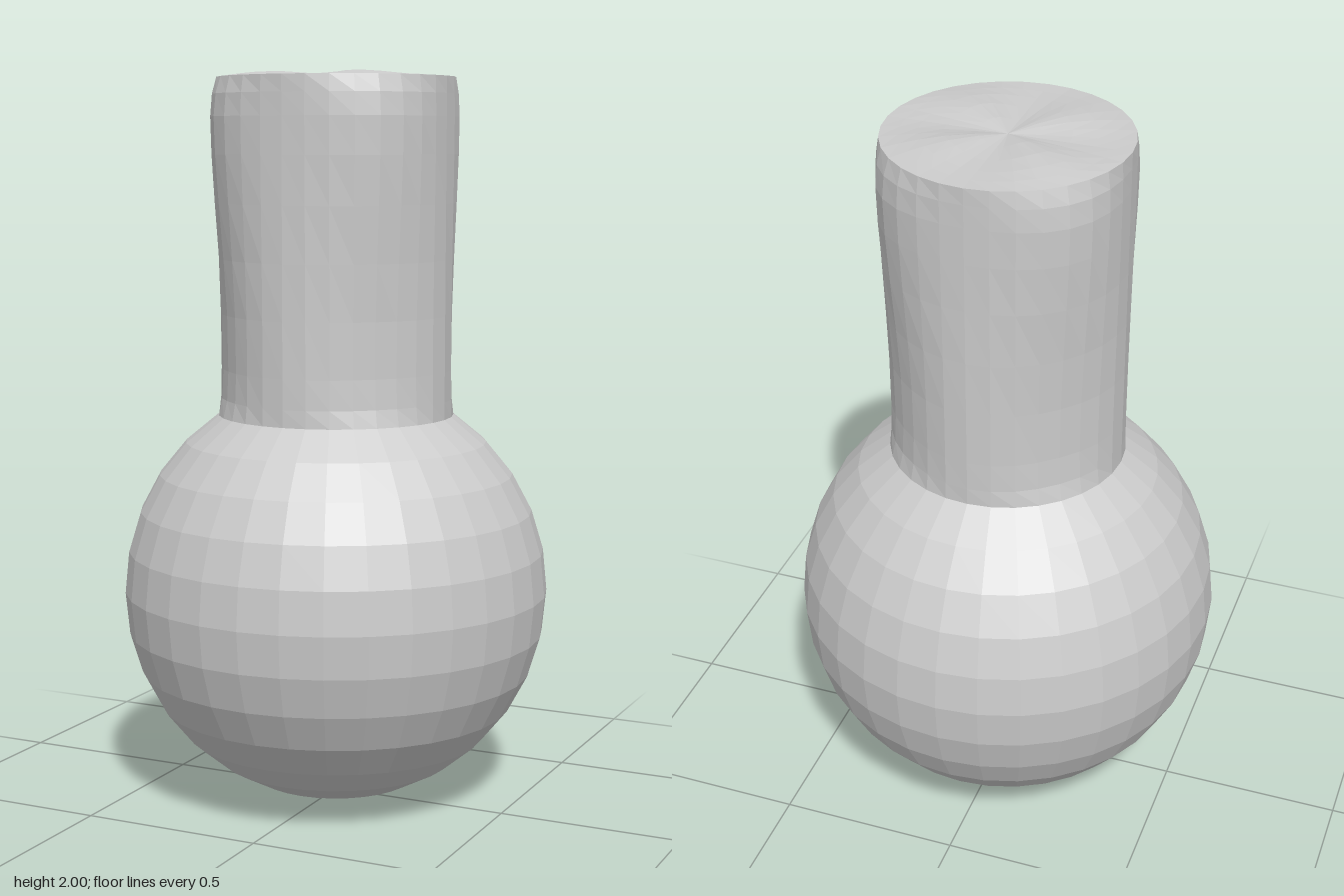
import * as THREE from 'three';

const SIDES = 32;
const material = new THREE.MeshStandardMaterial({ color: 0xcccccc, flatShading: true });

// Faceted turned part; reshape(v) may move each vertex afterwards
function turned(name, profile, reshape) {
  const lathe = new THREE.LatheGeometry(profile.map(([r, y]) => new THREE.Vector2(r, y)), SIDES);
  const pos = lathe.attributes.position;
  const v = new THREE.Vector3();
  if (reshape) {
    for (let i = 0; i < pos.count; i++) {
      reshape(v.fromBufferAttribute(pos, i));
      pos.setXYZ(i, v.x, v.y, v.z);
    }
  }
  const geometry = lathe.toNonIndexed();
  geometry.computeVertexNormals();
  const mesh = new THREE.Mesh(geometry, material);
  mesh.name = name;
  return mesh;
}

export function createModel() {
  const group = new THREE.Group();
  group.name = 'flask';
  const R = 0.585, neckR = 0.323, neckY = 1.073, topY = 1.985;

  // Round bulb, open where the neck begins
  const bulb = [];
  const end = Math.PI - Math.asin(neckR / R);
  for (let a = 0; a < end - 0.05; a += Math.PI / 16) {
    bulb.push([R * Math.sin(a), R - R * Math.cos(a)]);
  }
  bulb.push([neckR, neckY]);
  group.add(turned('bulb', bulb));

  // Neck: round at both ends, pinched low and swollen high on the diagonals
  const swell = [[neckY, 0], [1.12, -0.011], [1.2, -0.015], [1.35, -0.013], [1.5, -0.004],
    [1.65, 0.008], [1.78, 0.017], [1.88, 0.02], [1.94, 0.014], [topY, 0]];
  group.add(turned('neck', swell.map(([y]) => [neckR, y]), (v) => {
    const [, d] = swell.find(([y]) => Math.abs(y - v.y) < 0.001);
    const k = 1 + (d / neckR) * Math.sin(2 * Math.atan2(v.z, v.x)) ** 2;
    v.x *= k;
    v.z *= k;
  }));

  // Gently rippled closed top with four low swellings
  const rings = [1, 0.85, 0.7, 0.5, 0.25, 0].map((k) => [neckR * k, topY]);
  group.add(turned('topCap', rings, (v) => {
    const r = Math.hypot(v.x, v.z) / neckR;
    const diagonal = Math.sin(2 * Math.atan2(v.z, v.x)) ** 2;
    v.y += 0.015 * diagonal * Math.sin(Math.PI * Math.min(r, 1));
  }));

  return group;
}
